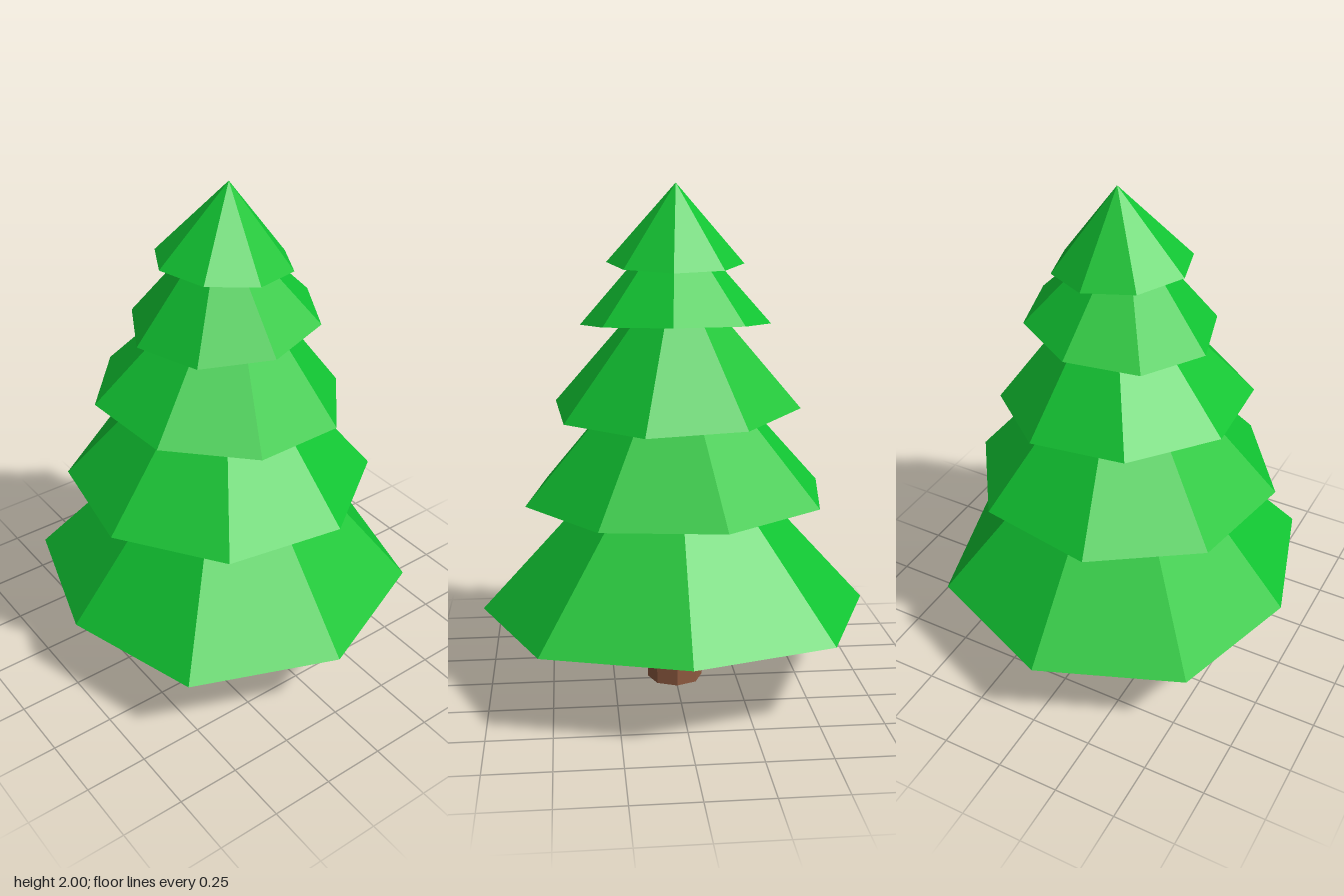
import * as THREE from 'three';

const SIDES = 8;

// Open, flat-faceted cone with a slightly tilted rim and an off-centre tip
function boughGeometry({ centre, radius, turn, slope, tip, tuck = 1 }) {
  const rim = [];
  for (let i = 0; i < SIDES; i++) {
    const a = THREE.MathUtils.degToRad(turn + (i * 360) / SIDES);
    const r = radius * (i % 4 === 0 ? tuck : 1);
    const dx = r * Math.cos(a), dz = r * Math.sin(a);
    rim.push([centre[0] + dx, centre[1] + dx * slope[0] + dz * slope[1], centre[2] + dz]);
  }
  const apex = [tip[0], tip[1], 0];
  const positions = rim.flatMap((p, i) => [...apex, ...rim[(i + 1) % SIDES], ...p]);
  const geometry = new THREE.BufferGeometry();
  geometry.setAttribute('position', new THREE.Float32BufferAttribute(positions, 3));
  geometry.computeVertexNormals();
  return geometry;
}

export function createModel() {
  const leafGreen = new THREE.MeshStandardMaterial({ color: 0x11c432, side: THREE.DoubleSide });
  leafGreen.name = 'leafGreen';
  const barkBrown = new THREE.MeshStandardMaterial({ color: 0x8f5b40 });
  barkBrown.name = 'barkBrown';

  const tree = new THREE.Group();
  tree.name = 'pineTree';

  // Octagonal trunk, running up inside the lowest boughs
  const height = 0.66;
  const trunkGeometry = new THREE.CylinderGeometry(0.112, 0.112, height, SIDES).toNonIndexed();
  trunkGeometry.computeVertexNormals();
  const trunk = new THREE.Mesh(trunkGeometry, barkBrown);
  trunk.name = 'trunk';
  trunk.position.set(-0.025, height / 2, 0);
  tree.add(trunk);

  // Tiers of boughs, bottom to top; slope is the rim's rise along x and z
  const tiers = [
    { centre: [-0.022, 0.32, 0], radius: 0.775, turn: 0, slope: [0.012, 0], tip: [0.0, 1.17], tuck: 0.92 },
    { centre: [-0.025, 0.785, -0.005], radius: 0.612, turn: -12.5, slope: [0.004, -0.013], tip: [0.0, 1.47] },
    { centre: [-0.025, 1.145, -0.003], radius: 0.495, turn: 18, slope: [-0.06, -0.03], tip: [0.03, 1.71] },
    { centre: [-0.002, 1.465, 0], radius: 0.37, turn: 6.5, slope: [0.082, 0], tip: [-0.02, 1.885] },
    { centre: [-0.007, 1.7, 0], radius: 0.265, turn: 6.5, slope: [-0.075, 0], tip: [0.015, 2] },
  ];
  tiers.forEach((tier, i) => {
    const bough = new THREE.Mesh(boughGeometry(tier), leafGreen);
    bough.name = `boughTier${i + 1}`;
    tree.add(bough);
  });

  return tree;
}
